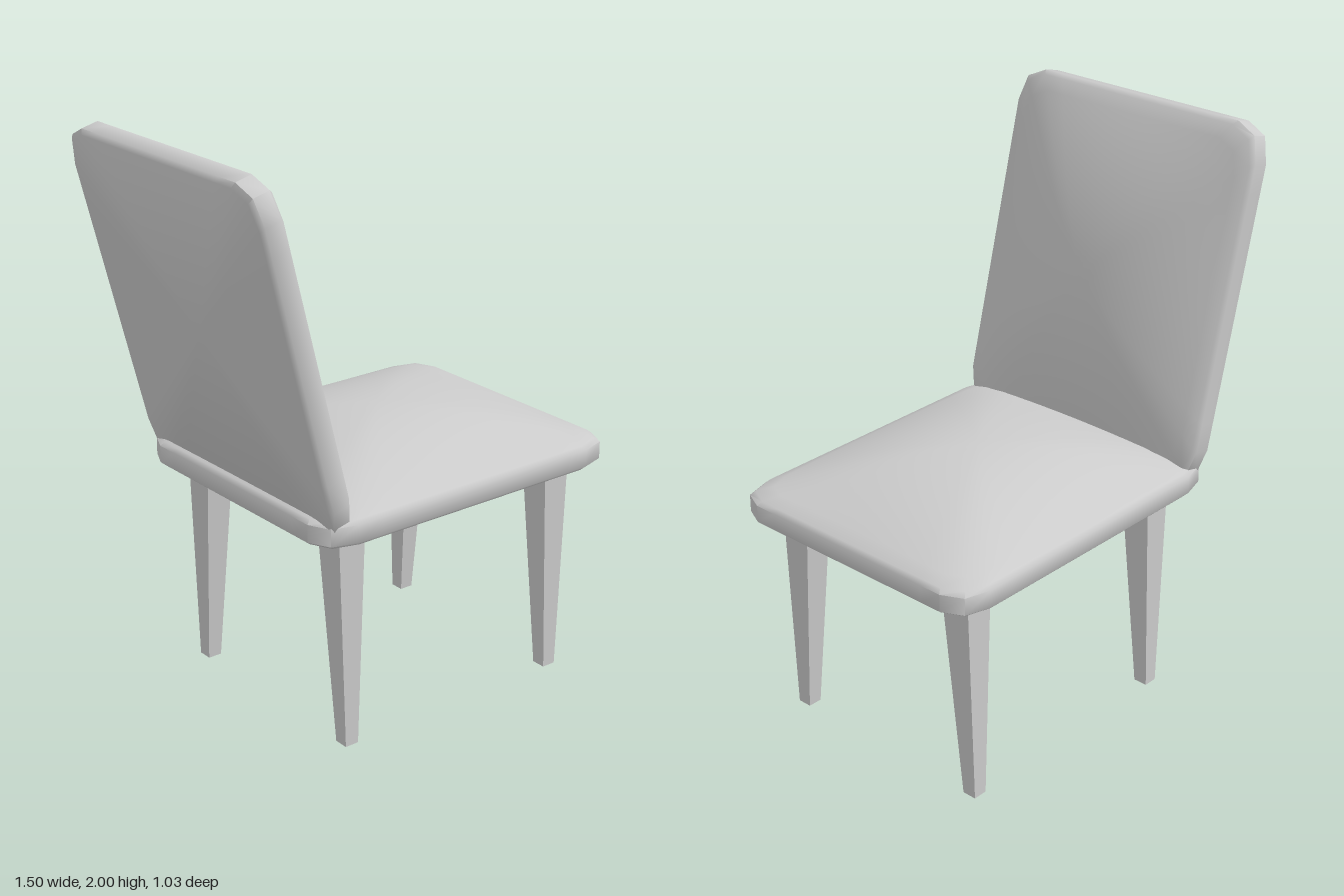
import * as THREE from 'three';
import { toCreasedNormals } from 'three/addons/utils/BufferGeometryUtils.js';

const material = new THREE.MeshStandardMaterial({ color: 0xcccccc });
const A = 0.62, B = 0.516;      // half length and half width of a cushion
const RIM = 0.087, DOME = 0.13, BEVEL = 0.013;

// Rounded-corner outline in x/z, straight sides subdivided for a smooth dome
function outline() {
  const corner = [[A, B - 0.1], [A - 0.035, B - 0.026], [A - 0.125, B]];
  const corners = [
    ...corner,
    ...corner.map(([x, z]) => [-x, z]).reverse(),
    ...corner.map(([x, z]) => [-x, -z]),
    ...corner.map(([x, z]) => [x, -z]).reverse(),
  ];
  const points = [];
  corners.forEach(([x, z], i) => {
    const [nx, nz] = corners[(i + 1) % corners.length];
    const steps = i % 3 === 2 ? 10 : 1;
    for (let k = 0; k < steps; k++) points.push([x + (nx - x) * k / steps, z + (nz - z) * k / steps]);
  });
  return points;
}

// Padded slab: flat underside, bevelled rim and a domed top, as nested rings
function cushionGeometry() {
  const base = outline(), n = base.length;
  const inset = 1 - BEVEL / B;
  const rings = [[0, 0], [inset, 0], [1, BEVEL], [1, RIM - BEVEL]];
  const domeSteps = 12;
  for (let i = 0; i <= domeSteps; i++) rings.push([inset * (1 - i / domeSteps), RIM, true]);

  const position = [], index = [];
  for (const [s, y, domed] of rings) {
    const q = s / inset;
    for (const [bx, bz] of base) {
      const x = bx * s, z = bz * s;
      const tx = bx / A * q, tz = bz / B * q;
      const swell = 0.5 * (1 - q * q) + 0.5 * (1 - tx * tx) * (1 - tz * tz);
      position.push(x, domed ? y + DOME * swell : y, z);
    }
  }
  for (let r = 0; r < rings.length - 1; r++) {
    for (let i = 0; i < n; i++) {
      const j = (i + 1) % n;
      const a = r * n + i, b = r * n + j, c = a + n, d = b + n;
      if (r > 0) index.push(a, c, b);
      if (r < rings.length - 2) index.push(b, c, d);
      else if (r === 0) index.push(b, c, d);
    }
  }
  const geometry = new THREE.BufferGeometry();
  geometry.setAttribute('position', new THREE.Float32BufferAttribute(position, 3));
  geometry.setIndex(index);
  return toCreasedNormals(geometry, 0.95);
}

// Tapered square leg: outer side (+z) upright, the others narrowing to the foot
function legGeometry() {
  const height = 0.79;
  const geometry = new THREE.BoxGeometry(0.107, height, 0.115);
  geometry.translate(0, height / 2, -0.115 / 2);
  const p = geometry.attributes.position;
  for (let i = 0; i < p.count; i++) {
    if (p.getY(i) < 0.01) p.setXYZ(i, p.getX(i) * 0.48, 0, p.getZ(i) * 0.45);
  }
  geometry.computeVertexNormals();
  return geometry;
}

export function createModel() {
  const chair = new THREE.Group();
  chair.name = 'chair';
  const add = (name, geometry) => {
    const mesh = new THREE.Mesh(geometry, material);
    mesh.name = name;
    chair.add(mesh);
    return mesh;
  };

  // Seat and matching reclined backrest
  const cushion = cushionGeometry();
  add('seat', cushion).position.set(0.125, 0.772, 0);
  const back = add('backrest', cushion);
  back.position.set(-0.603, 1.385, 0);
  back.rotation.z = -Math.acos(0.249);

  // Four legs, turned so the upright side faces outward
  const leg = legGeometry();
  for (const [end, x] of [['front', 0.573], ['rear', -0.322]]) {
    for (const side of [1, -1]) {
      const mesh = add(`${end}Leg${side > 0 ? 'A' : 'B'}`, leg);
      mesh.position.set(x, 0, side * 0.422);
      if (side < 0) mesh.rotation.y = Math.PI;
    }
  }
  return chair;
}
